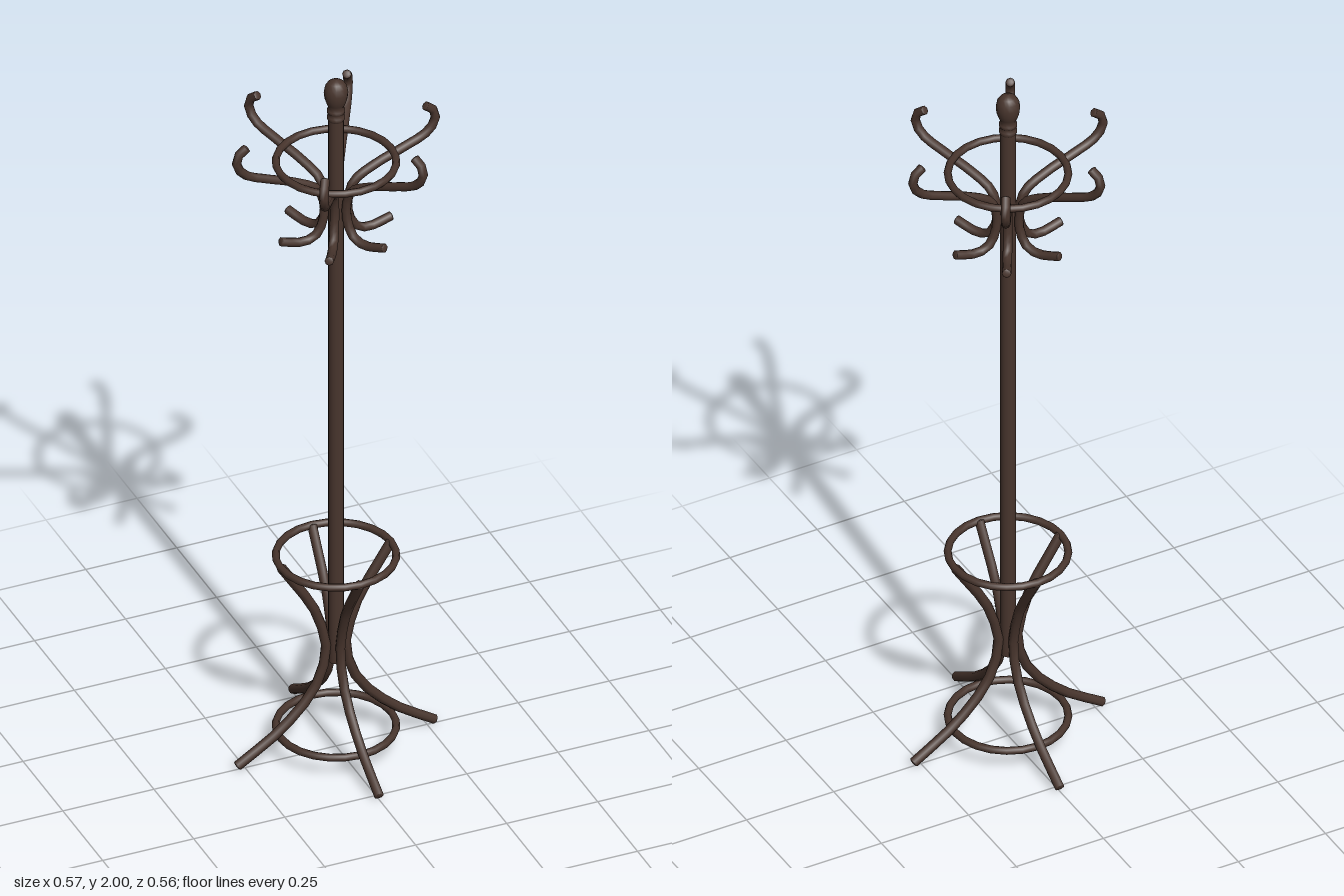
import * as THREE from 'three';

export function createModel() {
  const model = new THREE.Group();
  const wood = new THREE.MeshStandardMaterial({ color: 0x48352d });
  wood.name = 'darkWood';

  const add = (geometry, name, parent = model) => {
    const mesh = new THREE.Mesh(geometry, wood);
    mesh.name = name;
    parent.add(mesh);
    return mesh;
  };

  // A bent rod in the x-y plane with closed, slightly domed ends
  function bentRod(points, radius, segments, name) {
    const group = new THREE.Group();
    group.name = name;
    const curve = new THREE.CatmullRomCurve3(points.map(([r, y]) => new THREE.Vector3(r, y, 0)));
    add(new THREE.TubeGeometry(curve, segments, radius, 8), name + 'Rod', group);
    for (const t of [0, 1]) {
      const direction = curve.getTangent(t).multiplyScalar(t ? 1 : -1);
      const cap = add(new THREE.SphereGeometry(radius, 8, 3, 0, Math.PI * 2, 0, Math.PI / 2), name + 'End', group);
      cap.scale.y = 0.3;
      cap.position.copy(curve.getPoint(t));
      cap.quaternion.setFromUnitVectors(new THREE.Vector3(0, 1, 0), direction);
    }
    return group;
  }

  // Repeat a rod evenly around the pole
  function around(count, points, radius, segments, name) {
    for (let i = 0; i < count; i++) {
      const rod = bentRod(points, radius, segments, name);
      rod.rotation.y = (i / count) * Math.PI * 2;
      model.add(rod);
    }
  }

  // Central pole
  const pole = add(new THREE.CylinderGeometry(0.02, 0.02, 1.63, 16), 'pole');
  pole.position.y = 0.26 + 1.63 / 2;

  // Turned finial with neck rings and a knob
  const finial = [
    [0.02, 1.88], [0.023, 1.885], [0.023, 1.893], [0.018, 1.898], [0.023, 1.904],
    [0.023, 1.912], [0.018, 1.918], [0.024, 1.93], [0.029, 1.945], [0.031, 1.963],
    [0.028, 1.98], [0.02, 1.992], [0.01, 1.998], [0, 2],
  ].map(([r, y]) => new THREE.Vector2(r, y));
  add(new THREE.LatheGeometry(finial, 16), 'finial');

  // Four splayed legs, pinched in towards the pole
  around(4, [
    [0.15, 0.575], [0.105, 0.505], [0.065, 0.44], [0.035, 0.355], [0.027, 0.3],
    [0.04, 0.235], [0.07, 0.175], [0.155, 0.088], [0.27, 0.013],
  ], 0.013, 12, 'leg');

  // Six S-shaped hooks with a short lower peg
  around(6, [
    [0.151, 1.553], [0.095, 1.538], [0.06, 1.545], [0.038, 1.58], [0.033, 1.635],
    [0.05, 1.685], [0.11, 1.721], [0.19, 1.752], [0.248, 1.778], [0.272, 1.81],
    [0.268, 1.84], [0.246, 1.858],
  ], 0.012, 22, 'hook');

  // Bracing rings for the hooks, the umbrella stand and the feet
  for (const [y, name] of [[1.755, 'hookRing'], [0.575, 'standRing'], [0.065, 'footRing']]) {
    const ring = add(new THREE.TorusGeometry(0.152, 0.01, 8, 24), name);
    ring.rotation.x = Math.PI / 2;
    ring.position.y = y;
  }

  return model;
}
